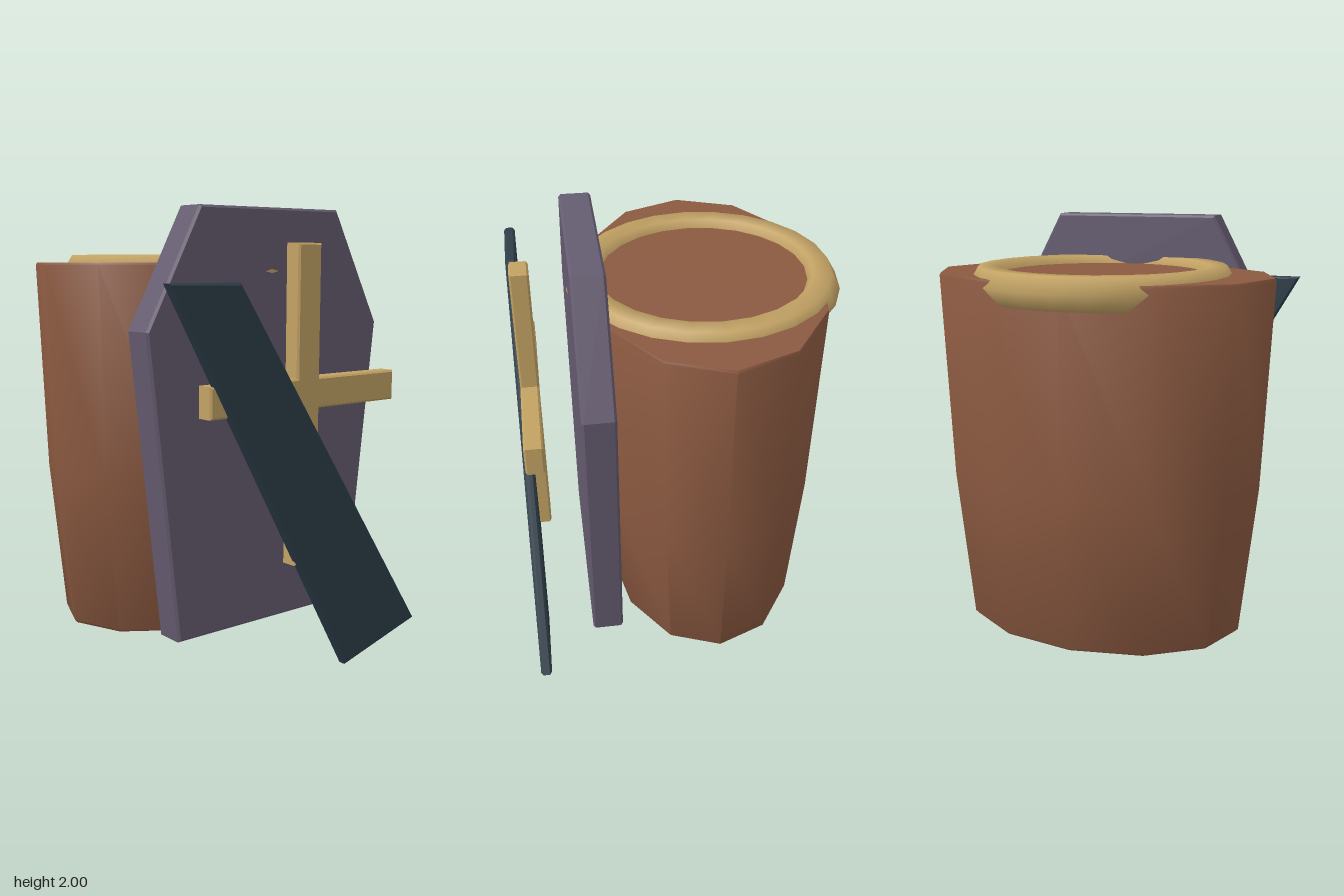
import * as THREE from 'three';
import { toCreasedNormals } from 'three/addons/utils/BufferGeometryUtils.js';

const material = (name, color) => {
  const m = new THREE.MeshStandardMaterial({ color });
  m.name = name;
  return m;
};

// Flat plate from an outline in x/y, between two depths, with a small bevel
function plate(points, z0, z1, bevel) {
  const shape = new THREE.Shape(points.map(([x, y]) => new THREE.Vector2(x, y)));
  const geometry = new THREE.ExtrudeGeometry(shape, {
    depth: z1 - z0 - 2 * bevel,
    bevelEnabled: true,
    bevelThickness: bevel,
    bevelSize: bevel,
    bevelOffset: -bevel,
    bevelSegments: 1,
  });
  return geometry.translate(0, 0, z0 + bevel);
}

const bar = (x0, x1, y0, y1) => plate([[x0, y0], [x1, y0], [x1, y1], [x0, y1]], 0.605, 0.687, 0.008);

export function createModel() {
  const leather = material('brown leather', 0x8c5a41);
  const slate = material('purple slate', 0x655c70);
  const brass = material('brass', 0xc2a264);
  const cloth = material('dark blue cloth', 0x2e3d49);

  const model = new THREE.Group();
  model.name = 'armouredTorso';
  const add = (name, geometry, mat, parent = model) => {
    const mesh = new THREE.Mesh(geometry, mat);
    mesh.name = name;
    parent.add(mesh);
    return mesh;
  };

  // Body: twelve-sided tapered barrel, flattened front to back
  const profile = [[0, 0.155], [0.645, 0.155], [0.657, 0.167], [0.73, 0.85], [0.77, 1.76], [0.765, 1.77], [0, 1.77]]
    .map(([x, y]) => new THREE.Vector2(x, y));
  const body = new THREE.LatheGeometry(profile, 12).scale(1, 1, 0.677).translate(0, 0, -0.13);
  add('body', toCreasedNormals(body, 0.85), leather);

  // Collar: ring half sunk into the top of the body
  const collar = new THREE.TorusGeometry(0.505, 0.08, 6, 24).rotateX(Math.PI / 2);
  add('collar', collar, brass).position.set(0, 1.735, -0.13);

  // Chest plate
  add('chestPlate', plate([
    [-0.5, 0.197], [0.5, 0.197], [0.65, 1.5], [0.385, 2], [-0.385, 2], [-0.65, 1.5],
  ], 0.31, 0.45, 0.01), slate);

  // Cross emblem
  const cross = new THREE.Group();
  cross.name = 'cross';
  model.add(cross);
  add('crossUpright', bar(-0.066, 0.062, 0.505, 1.85), brass, cross);
  add('crossArm', bar(-0.52, 0.515, 1.17, 1.3), brass, cross);

  // Diagonal sash
  add('sash', plate([
    [-0.73, 1.695], [0.232, 0], [0.685, 0.12], [-0.385, 1.695],
  ], 0.66, 0.71, 0.01), cloth);

  return model;
}
